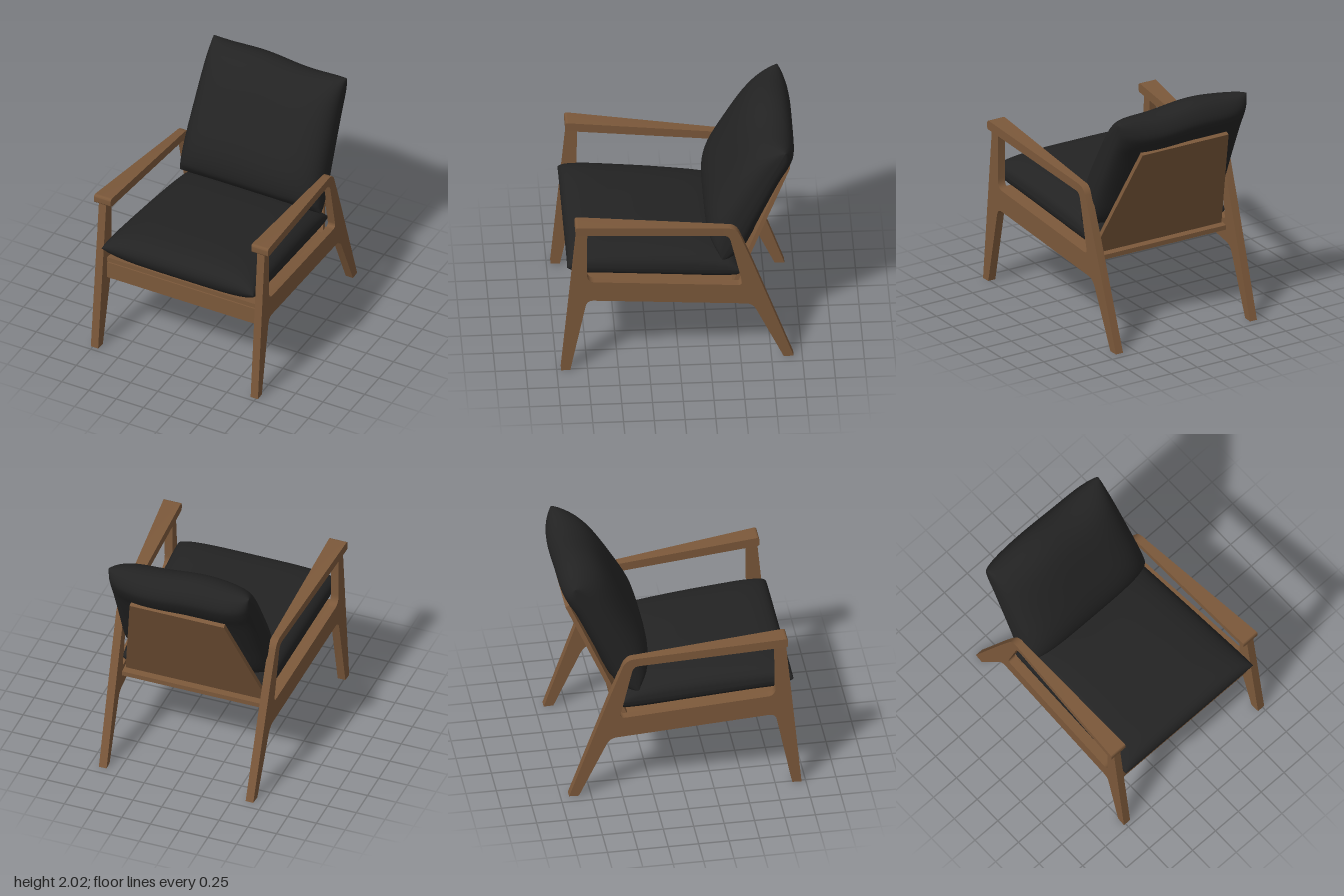
import * as THREE from 'three';
import { toCreasedNormals } from 'three/addons/utils/BufferGeometryUtils.js';

const wood = new THREE.MeshStandardMaterial({ color: 0x7b583a });
wood.name = 'walnut wood';
const fabric = new THREE.MeshStandardMaterial({ color: 0x232323 });
fabric.name = 'black upholstery';

function mesh(name, geometry, material) {
  const m = new THREE.Mesh(geometry, material);
  m.name = name;
  return m;
}

// Extrudes a (z, y) outline sideways; inner(z) and outer(z) give the x of its two faces.
function sidePart(shape, side, inner, outer) {
  const g = new THREE.ExtrudeGeometry(shape, { depth: 1, bevelEnabled: false, curveSegments: 8 });
  g.rotateY(-Math.PI / 2);
  const p = g.attributes.position;
  for (let i = 0; i < p.count; i++) {
    const z = p.getZ(i);
    const t = -p.getX(i);
    const outward = side > 0 ? 1 - t : t;
    p.setX(i, side * THREE.MathUtils.lerp(inner(z), outer(z), outward));
  }
  return toCreasedNormals(g, 0.5);
}

// Legs, side rail and rear post in one continuous outline
function frameShape() {
  const s = new THREE.Shape();
  s.moveTo(0.965, 0);
  s.lineTo(0.835, 1.4);
  s.lineTo(0.715, 1.385);
  s.lineTo(0.715, 1.356);
  s.quadraticCurveTo(0.75, 1.356, 0.752, 1.31);
  s.lineTo(0.755, 0.95);
  s.quadraticCurveTo(0.755, 0.87, 0.69, 0.863);
  s.lineTo(-0.47, 0.745);
  s.quadraticCurveTo(-0.52, 0.74, -0.507, 0.79);
  s.lineTo(-0.415, 1.2);
  s.quadraticCurveTo(-0.4, 1.245, -0.36, 1.247);
  s.lineTo(-0.36, 1.321);
  s.lineTo(-0.39, 1.318);
  s.quadraticCurveTo(-0.46, 1.315, -0.49, 1.25);
  s.lineTo(-0.6, 0.95);
  s.lineTo(-0.93, 0);
  s.lineTo(-0.85, 0);
  s.lineTo(-0.63, 0.48);
  s.quadraticCurveTo(-0.6, 0.55, -0.54, 0.555);
  s.lineTo(0.7, 0.68);
  s.quadraticCurveTo(0.752, 0.685, 0.765, 0.63);
  s.lineTo(0.89, 0);
  return s;
}

function armShape() {
  const s = new THREE.Shape();
  s.moveTo(-0.36, 1.247);
  s.lineTo(0.825, 1.366);
  s.quadraticCurveTo(0.85, 1.368, 0.85, 1.385);
  s.lineTo(0.85, 1.42);
  s.quadraticCurveTo(0.85, 1.447, 0.825, 1.445);
  s.lineTo(-0.36, 1.321);
  return s;
}

// Soft cushion: a closed (z, y) profile swept across x, thinning towards both sides.
// axis = [z, y, dz, dy] is the mid-line about which it thins.
function cushion(profile, axis, halfWidth, sag) {
  const curve = new THREE.CatmullRomCurve3(
    profile.map(([z, y]) => new THREE.Vector3(0, y, z)), true, 'centripetal');
  const n = 56, stations = 36;
  const loop = curve.getPoints(n).slice(0, n);
  const [az, ay, dz, dy] = axis;
  const len = Math.hypot(dz, dy);
  const ez = dz / len, ey = dy / len;
  const pos = [], idx = [];
  for (let i = 0; i <= stations; i++) {
    const u = Math.sin((i / stations - 0.5) * Math.PI);
    const a = Math.abs(u);
    const thick = Math.pow(Math.max(0, 1 - Math.pow(a, 4)), 0.36);
    for (let j = 0; j < n; j++) {
      const z = loop[j].z - az, y = loop[j].y - ay;
      const along = z * ez + y * ey;
      const across = (y * ez - z * ey) * thick;
      const pz = az + along * ez - across * ey;
      const py = ay + along * ey + across * ez;
      pos.push(u * halfWidth(pz, py), py + sag(u, pz, py), pz);
      if (i < stations) {
        const k = (j + 1) % n, p = i * n, q = p + n;
        idx.push(p + j, q + j, p + k, q + j, q + k, p + k);
      }
    }
  }
  const g = new THREE.BufferGeometry();
  g.setAttribute('position', new THREE.Float32BufferAttribute(pos, 3));
  g.setIndex(idx);
  g.computeVertexNormals();
  return g;
}

export function createModel() {
  const chair = new THREE.Group();
  chair.name = 'armchair';

  // Splayed side frames and widening armrests
  const inner = (z) => 0.652 + 0.05 * z;
  const outer = (z) => 0.719 + 0.05 * z;
  for (const side of [1, -1]) {
    const label = side > 0 ? 'left' : 'right';
    chair.add(mesh(label + 'SideFrame', sidePart(frameShape(), side, inner, outer), wood));
    chair.add(mesh(label + 'Armrest',
      sidePart(armShape(), side, (z) => 0.637 + 0.0104 * z, (z) => 0.73 + 0.081 * z), wood));
  }

  // Front rail
  const rail = mesh('frontRail', new THREE.BoxGeometry(1.39, 0.15, 0.05), wood);
  rail.position.set(0, 0.71, 0.8);
  chair.add(rail);

  // Sloping seat board, narrowing towards the back
  const board = new THREE.Shape([
    new THREE.Vector2(0.825, 0.795), new THREE.Vector2(0.825, 0.835),
    new THREE.Vector2(-0.53, 0.7), new THREE.Vector2(-0.53, 0.66)]);
  const seatEdge = (z) => 0.655 + 0.05 * z;
  chair.add(mesh('seatBoard', sidePart(board, 1, (z) => -seatEdge(z), seatEdge), wood));

  // Tapered back panel leaning backwards
  const panel = new THREE.Shape([
    new THREE.Vector2(-0.62, 0), new THREE.Vector2(0.62, 0),
    new THREE.Vector2(0.41, 1.1), new THREE.Vector2(-0.41, 1.1)]);
  const back = mesh('backPanel',
    new THREE.ExtrudeGeometry(panel, { depth: 0.035, bevelEnabled: false }), wood);
  back.rotation.x = -0.423;
  back.position.set(0, 0.69, -0.466);
  chair.add(back);

  // Seat cushion
  const seatProfile = [
    [0.88, 0.9], [0.91, 0.99], [0.87, 1.07], [0.75, 1.105], [0.45, 1.1], [0.1, 1.075],
    [-0.25, 1.025], [-0.43, 0.96], [-0.5, 0.84], [-0.48, 0.74], [-0.4, 0.725],
    [0.1, 0.772], [0.6, 0.825], [0.8, 0.845]];
  chair.add(mesh('seatCushion', cushion(seatProfile, [0.9, 0.975, -1.4, -0.13],
    (z) => 0.655 + 0.045 * z, () => 0), fabric));

  // Back cushion, slightly slumped on one side
  const backProfile = [
    [-0.28, 1.04], [-0.235, 1.12], [-0.25, 1.32], [-0.4, 1.62], [-0.57, 1.88], [-0.68, 1.97],
    [-0.8, 2.0], [-0.9, 1.965], [-0.955, 1.86], [-0.93, 1.77], [-0.86, 1.65],
    [-0.7, 1.3], [-0.56, 1.0], [-0.45, 0.94], [-0.35, 0.97]];
  const slump = (u, z, y) => (y - 1) * (0.006 - 0.018 * u - 0.012 * Math.cos(u * 5 - 2));
  chair.add(mesh('backCushion', cushion(backProfile, [-0.38, 1.03, -0.45, 0.88],
    (z, y) => 0.645 - 0.035 * (y - 1), slump), fabric));

  return chair;
}
